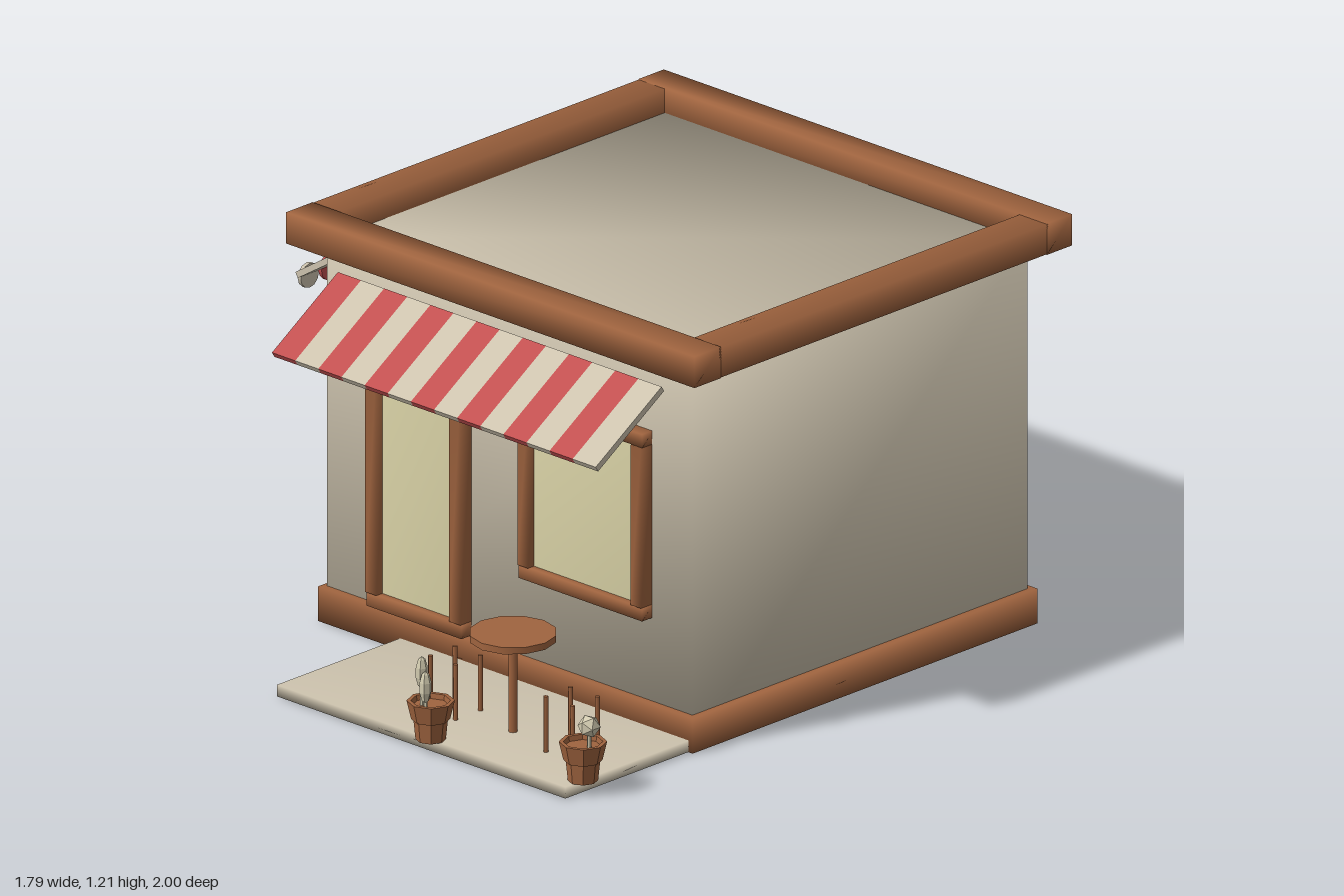
import * as THREE from 'three';
import { mergeVertices } from 'three/addons/utils/BufferGeometryUtils.js';

const paint = (name, color) => {
  const m = new THREE.MeshStandardMaterial({ color });
  m.name = name;
  return m;
};

export function createModel() {
  const model = new THREE.Group();
  model.name = 'cafe';
  const plaster = paint('plaster', 0xcdc3ae);
  const wood = paint('wood', 0xa0643f);
  const red = paint('awningRed', 0xc25050);
  const glass = paint('paleGlass', 0xd9d2a6);
  const plant = paint('plant', 0xd2cbb0);
  const potWood = wood.clone();
  potWood.name = 'flatWood';
  potWood.flatShading = true;
  plant.flatShading = true;

  const add = (parent, name, geometry, material, x = 0, y = 0, z = 0) => {
    const mesh = new THREE.Mesh(geometry, material);
    mesh.name = name;
    mesh.position.set(x, y, z);
    parent.add(mesh);
    return mesh;
  };

  // Box with shared corners, so its shading runs softly over the edges
  const softBox = (w, h, d) => {
    const g = new THREE.BoxGeometry(w, h, d);
    g.deleteAttribute('normal');
    g.deleteAttribute('uv');
    const merged = mergeVertices(g);
    merged.computeVertexNormals();
    return merged;
  };
  // Soft box given by its limits
  const block = (parent, name, material, x0, x1, y0, y1, z0, z1) =>
    add(parent, name, softBox(x1 - x0, y1 - y0, z1 - z0), material,
      (x0 + x1) / 2, (y0 + y1) / 2, (z0 + z1) / 2);

  // Building
  block(model, 'walls', plaster, -0.6, 0.805, 0.002, 1.14, -0.91, 0.42);
  block(model, 'plinth', wood, -0.615, 0.825, 0, 0.103, -0.93, 0.44);
  block(model, 'terrace', plaster, -0.3, 0.81, 0.001, 0.035, 0.41, 0.93);

  // Roof edge
  block(model, 'frontBeam', wood, -0.68, 0.89, 1.12, 1.213, 0.395, 0.5);
  block(model, 'backBeam', wood, -0.68, 0.89, 1.12, 1.213, -1, -0.9);
  block(model, 'rightBeam', wood, -0.68, -0.58, 1.122, 1.211, -0.92, 0.42);
  block(model, 'leftBeam', wood, 0.785, 0.89, 1.122, 1.211, -0.92, 0.4);

  // Framed opening: local x is its width, local z points out of the wall
  const opening = (name, w, h, bar, x, y, z, turn = 0) => {
    const g = new THREE.Group();
    g.name = name;
    g.position.set(x, y, z);
    g.rotation.y = turn;
    for (const s of [-1, 1]) {
      add(g, 'frameRail', softBox(w, bar, 0.045), wood, 0, s * (h - bar) / 2, 0.0175);
      add(g, 'frameStile', softBox(bar, h - 2 * bar, 0.05), wood, s * (w - bar) / 2, 0, 0.02);
    }
    add(g, 'pane', softBox(w - 2 * bar, h - 2 * bar, 0.02), glass, 0, 0, 0.01);
    model.add(g);
  };
  opening('door', 0.365, 0.775, 0.042, -0.2275, 0.495, 0.42);
  opening('frontWindow', 0.475, 0.555, 0.04, 0.4125, 0.6275, 0.42);
  opening('sideWindow', 0.97, 0.695, 0.037, -0.6, 0.6275, -0.255, -Math.PI / 2);

  // Striped awning: top edge on the wall side, sloping down along local z
  const awning = (name, w, count, tabs, x, z, turn = 0) => {
    const g = new THREE.Group();
    g.name = name;
    g.position.set(x, 1.06, z);
    g.rotation.y = turn;
    const run = 0.262, drop = 0.165, step = w / count;
    for (let i = 0; i < count; i++) {
      const colour = i % 2 ? plaster : red;
      const sx = -w / 2 + (i + 0.5) * step;
      const stripe = add(g, 'stripe', new THREE.BoxGeometry(step, 0.018, Math.hypot(run, drop)),
        colour, sx, -drop / 2, run / 2);
      stripe.rotation.x = Math.atan2(drop, run);
      if (tabs) {
        const tab = add(g, 'scallop', new THREE.CylinderGeometry(0.036, 0.036, 0.012, 12),
          colour, sx, -drop - 0.01, run - 0.005);
        tab.rotation.x = Math.PI / 2;
      }
    }
    model.add(g);
  };
  awning('frontAwning', 1.245, 14, false, 0.1025, 0.455);
  awning('sideAwning', 0.99, 12, true, -0.63, -0.255, -Math.PI / 2);

  // Table
  add(model, 'tableTop', new THREE.CylinderGeometry(0.123, 0.123, 0.02, 12), wood, 0.412, 0.32, 0.727);
  add(model, 'tableLeg', new THREE.CylinderGeometry(0.013, 0.013, 0.28, 8), wood, 0.412, 0.173, 0.727);

  // Stool legs on both sides of the table
  for (const x of [0.141, 0.238, 0.585, 0.688])
    for (const z of [0.677, 0.775])
      add(model, 'stoolLeg', new THREE.CylinderGeometry(0.007, 0.007, 0.165, 6), wood, x, 0.1175, z);

  // Flower pots
  const profile = [[0, 0.035], [0.042, 0.035], [0.048, 0.095], [0.054, 0.095], [0.067, 0.15],
    [0.055, 0.15], [0.052, 0.135], [0, 0.135]].map(([r, y]) => new THREE.Vector2(r, y));
  const pot = (x, z) => add(model, 'pot', new THREE.LatheGeometry(profile, 8), potWood, x, 0, z);
  pot(0.29, 0.928);
  pot(0.808, 0.858);

  // Plants: two tall buds and one round bush
  for (const [x, y, z] of [[0.27, 0.232, 0.943], [0.296, 0.198, 0.955]]) {
    add(model, 'bud', new THREE.SphereGeometry(1, 6, 5), plant, x, y, z).scale.set(0.018, 0.048, 0.018);
    add(model, 'stem', new THREE.CylinderGeometry(0.006, 0.006, y - 0.13, 5), plant, x, (y + 0.13) / 2, z);
  }
  add(model, 'bush', new THREE.IcosahedronGeometry(0.033, 0), plant, 0.829, 0.2, 0.855);
  add(model, 'stem', new THREE.CylinderGeometry(0.006, 0.006, 0.05, 5), plant, 0.829, 0.155, 0.855);

  return model;
}
